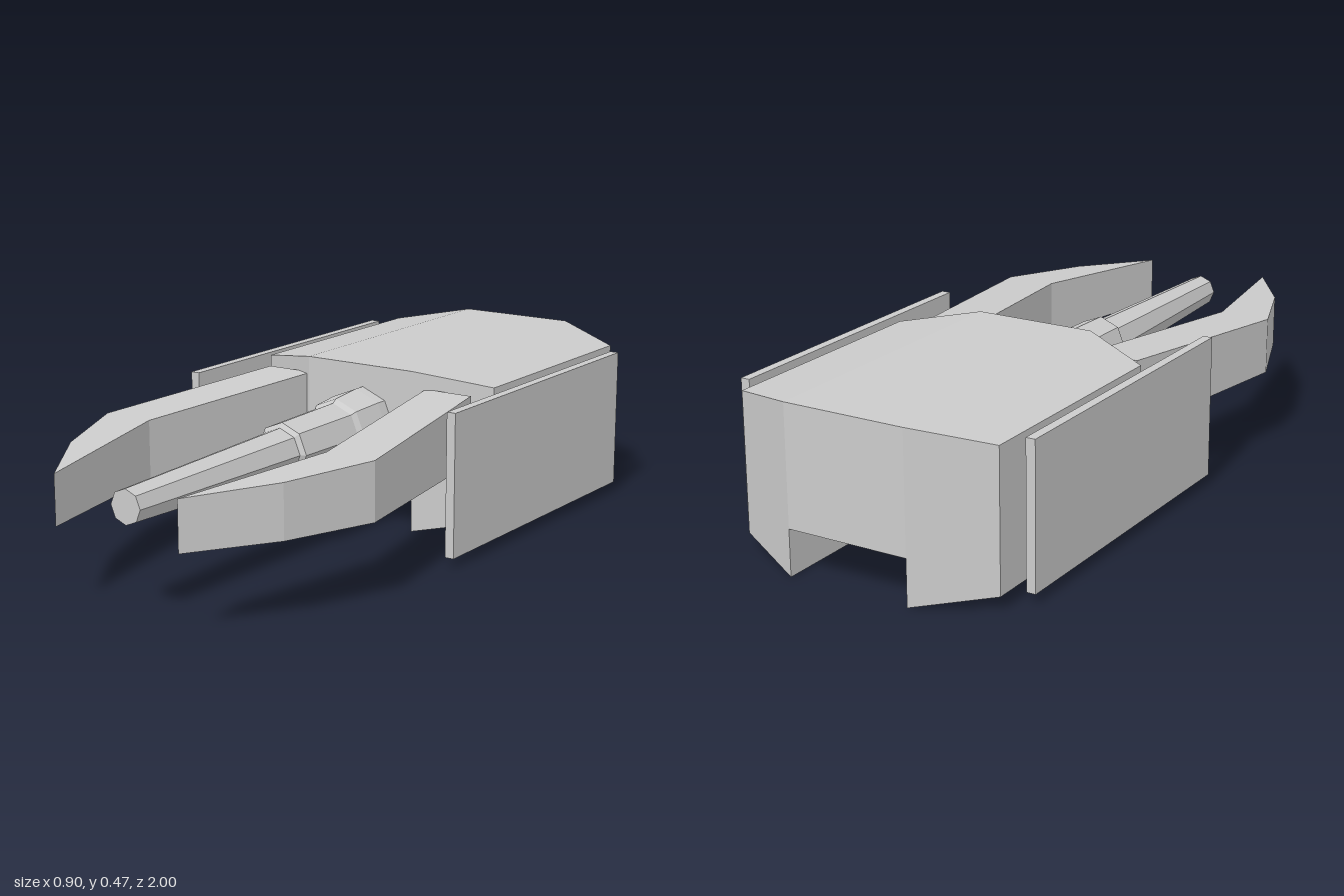
import * as THREE from 'three';

const material = new THREE.MeshStandardMaterial({ color: 0xcccccc, flatShading: true });

function addMesh(parent, name, geometry) {
  const mesh = new THREE.Mesh(geometry, material);
  mesh.name = name;
  parent.add(mesh);
  return mesh;
}

// Joins rectangular sections [x, y0, y1, z0, z1] along x into a closed solid
function loftAlongX(sections) {
  const rings = sections.map(([x, y0, y1, z0, z1]) => [
    [x, y0, z0], [x, y1, z0], [x, y1, z1], [x, y0, z1],
  ]);
  const positions = [];
  const quad = (a, b, c, d) => positions.push(...a, ...b, ...c, ...a, ...c, ...d);
  for (let i = 0; i < rings.length - 1; i++) {
    for (let k = 0; k < 4; k++) {
      const n = (k + 1) % 4;
      quad(rings[i][k], rings[i][n], rings[i + 1][n], rings[i + 1][k]);
    }
  }
  quad(...rings[0].slice().reverse());
  quad(...rings[rings.length - 1]);
  const geometry = new THREE.BufferGeometry();
  geometry.setAttribute('position', new THREE.Float32BufferAttribute(positions, 3));
  geometry.computeVertexNormals();
  return geometry;
}

// Bent prong: plan outline raised from a flat base, its top falling towards the tip
function prongGeometry(side) {
  const base = 0.225;
  const plan = [[0.2, -0.12], [0.35, -0.12], [0.447, 0.51], [0.35, 0.77], [0.2, 1], [0.297, 0.51]];
  const shape = new THREE.Shape(plan.map(([x, z]) => new THREE.Vector2(side * x, -z)));
  const geometry = new THREE.ExtrudeGeometry(shape, { depth: 1, bevelEnabled: false });
  geometry.rotateX(-Math.PI / 2);
  const p = geometry.attributes.position;
  for (let i = 0; i < p.count; i++) {
    const top = Math.max(0.365, 0.422 - 0.051 * (p.getZ(i) + 0.12));
    p.setY(i, p.getY(i) > 0.5 ? top : base);
  }
  geometry.computeVertexNormals();
  return geometry;
}

export function createModel() {
  const model = new THREE.Group();
  model.name = 'clawedPod';

  // Body with chamfered corners and a channel running underneath
  addMesh(model, 'body', loftAlongX([
    [-0.4, 0.04, 0.437, -0.9, -0.19],
    [-0.19, 0, 0.475, -1, -0.095],
    [-0.19, 0.133, 0.475, -1, -0.095],
    [0.17, 0.133, 0.475, -1, -0.095],
    [0.17, 0, 0.475, -1, -0.095],
    [0.384, 0.04, 0.437, -0.9, -0.19],
  ]));

  // Stepped eight-sided barrel
  const profile = [
    [0, -0.11], [0.108, -0.11], [0.108, -0.06], [0.098, 0.04], [0.088, 0.055],
    [0.082, 0.3], [0.068, 0.31], [0.048, 0.96], [0, 0.96],
  ].map(([r, z]) => new THREE.Vector2(r, z));
  const barrel = addMesh(model, 'barrel', new THREE.LatheGeometry(profile, 8));
  barrel.rotation.x = Math.PI / 2;
  barrel.position.y = 0.301;

  // Mirrored prongs and side plates
  for (const side of [1, -1]) {
    const label = side > 0 ? 'left' : 'right';
    addMesh(model, label + 'Prong', prongGeometry(side));
    const plate = addMesh(model, label + 'SidePlate', new THREE.BoxGeometry(0.027, 0.41, 0.95));
    plate.position.set(side * 0.4385, 0.232, -0.345);
  }
  return model;
}
